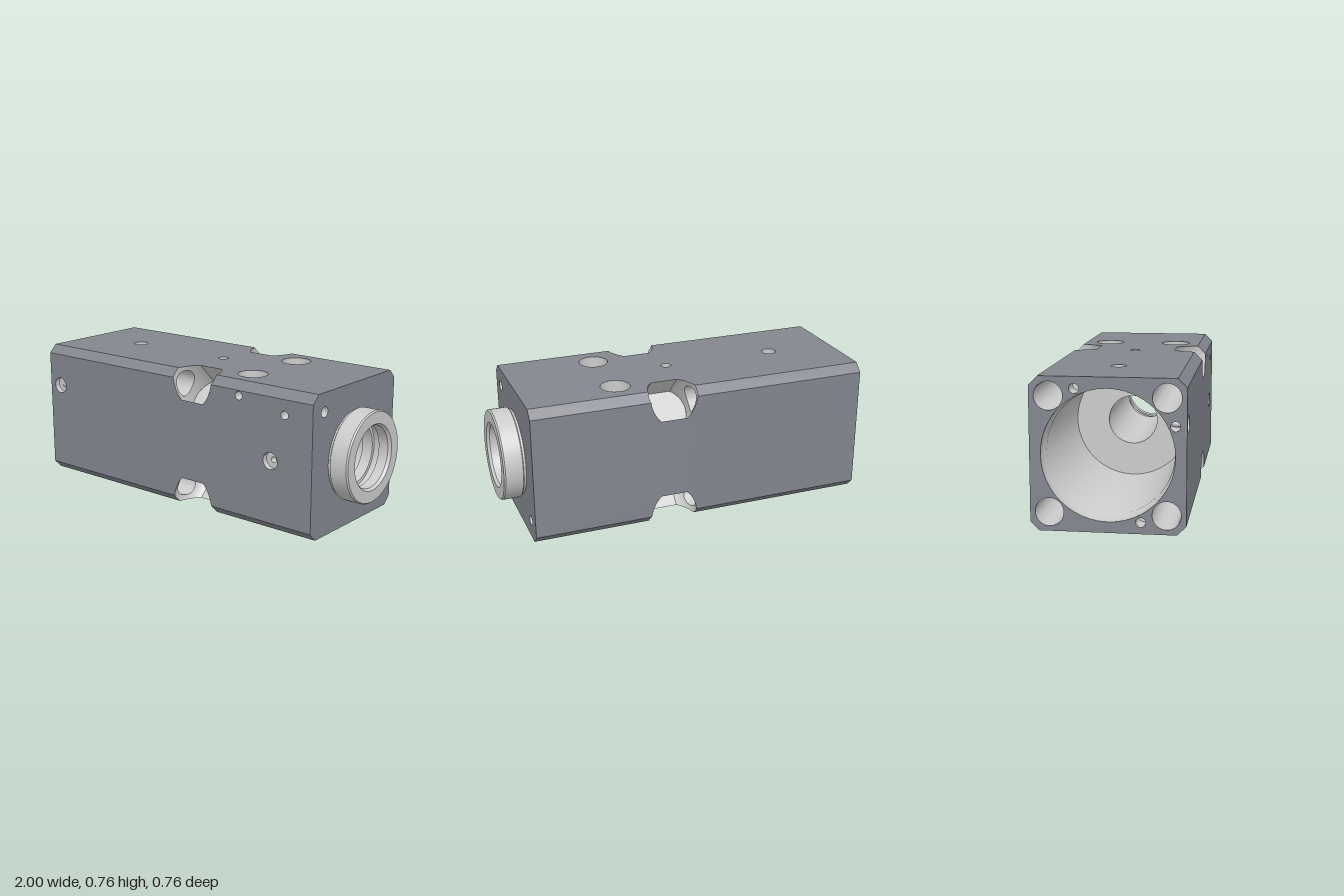
import * as THREE from 'three';
import { toCreasedNormals } from 'three/addons/utils/BufferGeometryUtils.js';

const H = 0.38, C = 0.045, X0 = -1, X1 = 0.88;      // half width, chamfer, block ends
const CX = 0.105, R = 0.135, T = 0.113, DEPTH = 0.27; // corner pockets
const CORNER = H * Math.SQRT2, D0 = C / Math.SQRT2;
const BOLT_R = 0.07, BOLT_AT = 0.403;
const halfWidth = t => Math.sqrt(R * R - t * t);

const body = new THREE.MeshStandardMaterial({ color: 0x83868e, side: THREE.DoubleSide });
const bare = new THREE.MeshStandardMaterial({ color: 0xcccccc, side: THREE.DoubleSide });

function add(parent, name, geometry, material) {
  const mesh = new THREE.Mesh(geometry, material);
  mesh.name = name;
  parent.add(mesh);
  return mesh;
}

function group(parent, name) {
  const g = new THREE.Group();
  g.name = name;
  parent.add(g);
  return g;
}

// Flat panel from outline points and round holes [u, v, radius]
function panel(points, holes = []) {
  const shape = new THREE.Shape(points.map(p => new THREE.Vector2(...p)));
  for (const [u, v, r] of holes) shape.holes.push(new THREE.Path().absarc(u, v, r, 0, Math.PI * 2, true));
  return new THREE.ShapeGeometry(shape, 24);
}

// Turned surface from [radius, height] points
function turned(profile, segments = 32) {
  const g = new THREE.LatheGeometry(profile.map(p => new THREE.Vector2(...p)), segments);
  return toCreasedNormals(g, 0.5);
}

// Surface through rows of [x, y, z] points
function loft(rows) {
  const n = rows[0].length, index = [];
  for (let j = 0; j < rows.length - 1; j++) {
    for (let i = 0; i < n - 1; i++) {
      const a = j * n + i, b = a + n;
      index.push(a, a + 1, b, b, a + 1, b + 1);
    }
  }
  const g = new THREE.BufferGeometry();
  g.setAttribute('position', new THREE.Float32BufferAttribute(rows.flat(2), 3));
  g.setIndex(index);
  g.computeVertexNormals();
  return toCreasedNormals(g, 0.5);
}

// A hole's profile is [radius, depth] steps going inward from the panel
function addHoles(parent, holes) {
  for (const [u, v, profile, z] of holes) {
    if (profile.length < 2) continue;
    const m = add(parent, 'hole', turned(profile.map(([r, d]) => [r, -d])), bare);
    m.rotation.x = Math.PI / 2;
    m.position.set(u, v, z);
  }
}
const blind = (r, d) => [[r, 0], [r, d], [0, d]];
const port = [[0.045, 0], [0.045, 0.03], [0.015, 0.03], [0.015, 0.08], [0, 0.08]];
const bolted = [[0.08, 0], [0.08, 0.1], [0.05, 0.1], [0.05, 2 * H]];

// Long side with a notch in both edges
function side(parent, name, angle, holes) {
  const g = group(parent, name);
  g.rotation.x = angle;
  const e = H - C, notch = [];
  for (let i = 0; i <= 12; i++) {
    const dy = C + (T * Math.SQRT2 - C) * i / 12;
    notch.push([halfWidth(dy / Math.SQRT2), H - dy]);
  }
  const top = [
    [X1, e], ...notch.map(([w, y]) => [CX + w, y]),
    ...notch.map(([w, y]) => [CX - w, y]).reverse(), [X0, e]];
  const outline = [...top, ...top.map(([x, y]) => [x, -y]).reverse()];
  add(g, name + 'Panel', panel(outline, holes.map(([u, v, p]) => [u, v, p[0][0]])), body).position.z = H;
  addHoles(g, holes.map(([u, v, p]) => [u, v, p, H]));
}

// Chamfered edge with its diagonal pocket and long bolt hole
function edge(parent, k) {
  const g = group(parent, 'chamferedEdge');
  g.rotation.x = -Math.PI / 4 + k * Math.PI / 2;
  const ts = [-1, -0.5, 0, 0.5, 1].map(s => s * D0);
  for (const [x, s] of [[X0, -1], [X1, 1]]) {
    const pts = [[x, D0], [x, -D0], ...ts.map(t => [CX + s * halfWidth(t), t])];
    add(g, 'chamfer', panel(pts), body).position.z = CORNER - D0;
  }

  // pocket wall away from the bolt hole
  const loop = [[CX - halfWidth(T), T]];
  for (let i = 0; i <= 32; i++) {
    const t = T - 2 * T * i / 32;
    loop.push([CX + halfWidth(t), t]);
  }
  loop.push([CX - halfWidth(T), -T]);
  add(g, 'pocketWall', loft([
    loop.map(([x, t]) => [x, t, CORNER - Math.max(D0, Math.abs(t))]),
    loop.map(([x, t]) => [x, t, CORNER - DEPTH])]), bare);

  // pocket floor
  const left = [];
  for (let i = 1; i < 16; i++) {
    const t = -T + 2 * T * i / 16;
    left.push([CX - halfWidth(t), t]);
  }
  add(g, 'pocketFloor', panel([...loop, ...left]), bare).position.z = CORNER - DEPTH;

  // pocket wall pierced by the bolt hole, spread out from the hole's rim
  const rows = [[], [], [], [], [], []], hd = CORNER - BOLT_AT, n = 96;
  for (let i = 0; i <= n; i++) {
    const a = i / n * Math.PI * 2, ct = Math.cos(a), cd = Math.sin(a);
    const limits = [
      [Math.abs(ct), T], [cd, DEPTH - hd], [-cd, hd - D0], [Math.abs(ct) - cd, hd]];
    const out = Math.min(...limits.filter(l => l[0] > 1e-6).map(l => l[1] / l[0]));
    rows[0].push([X0, ct * BOLT_R, BOLT_AT - cd * BOLT_R]);
    for (let j = 1; j < 6; j++) {
      const r = BOLT_R + (out - BOLT_R) * (j - 1) / 4, t = ct * r;
      rows[j].push([CX - halfWidth(t), t, BOLT_AT - cd * r]);
    }
  }
  add(g, 'boltHole', loft(rows), bare);
}

// Octagonal end; u runs along z on the left end and against it on the right
function end(parent, name, x, angle, mouths, holes) {
  const g = group(parent, name);
  g.rotation.y = angle;
  const e = H - C;
  const oct = [[H, -e], [H, e], [e, H], [-e, H], [-H, e], [-H, -e], [-e, -H], [e, -H]];
  const all = [...mouths, ...holes.map(([u, v, p]) => [u, v, p[0][0]])];
  add(g, name + 'Panel', panel(oct, all), body).position.z = Math.abs(x);
  addHoles(g, holes.map(([u, v, p]) => [u, v, p, Math.abs(x)]));
}

export function createModel() {
  const model = new THREE.Group();
  model.name = 'cylinderBlock';
  const block = group(model, 'block');
  block.position.y = H;

  // four long sides
  side(block, 'front', 0, [
    [-0.92, 0.15, port], [0.625, 0, port],
    [0.42, 0.307, blind(0.022, 0.06)], [0.71, 0.255, blind(0.022, 0.06)]]);
  side(block, 'back', Math.PI, []);
  side(block, 'top', -Math.PI / 2, [
    [-0.62, 0, blind(0.04, 0.04)], [0.01, 0, blind(0.028, 0.1)],
    [0.37, 0.195, bolted], [0.37, -0.195, bolted]]);
  side(block, 'bottom', Math.PI / 2, [[0.37, 0.195, [[0.05, 0]]], [0.37, -0.195, [[0.05, 0]]]]);
  for (let k = 0; k < 4; k++) edge(block, k);

  // ends
  const q = BOLT_AT / Math.SQRT2, small = blind(0.024, 0.1);
  end(block, 'boreEnd', X0, -Math.PI / 2,
    [[0, 0, 0.325], [q, q, BOLT_R], [q, -q, BOLT_R], [-q, q, BOLT_R], [-q, -q, BOLT_R]],
    [[-0.16, 0.322, small], [0.325, 0.15, small], [0.16, -0.322, small]]);
  end(block, 'collarEnd', X1, Math.PI / 2, [[0, 0, 0.235]],
    [[-0.28, 0.28, blind(0.028, 0.12)], [0.28, -0.28, blind(0.028, 0.12)]]);

  // collar, grooved rod passage and wide bore in one turned surface
  const collar = add(block, 'collarAndBore', turned([
    [0.235, 0.88], [0.235, 0.893], [0.24, 0.893], [0.246, 0.898], [0.246, 0.992], [0.24, 1],
    [0.177, 1], [0.166, 0.985], [0.166, 0.93], [0.185, 0.93], [0.185, 0.89], [0.166, 0.89],
    [0.166, 0.83], [0.185, 0.83], [0.185, 0.78], [0.166, 0.78], [0.166, 0.72],
    [0.135, 0.72], [0.135, -0.08], [0.315, -0.08], [0.315, -0.9], [0.325, -0.92], [0.325, -1],
  ], 72), bare);
  collar.rotation.z = -Math.PI / 2;
  return model;
}
